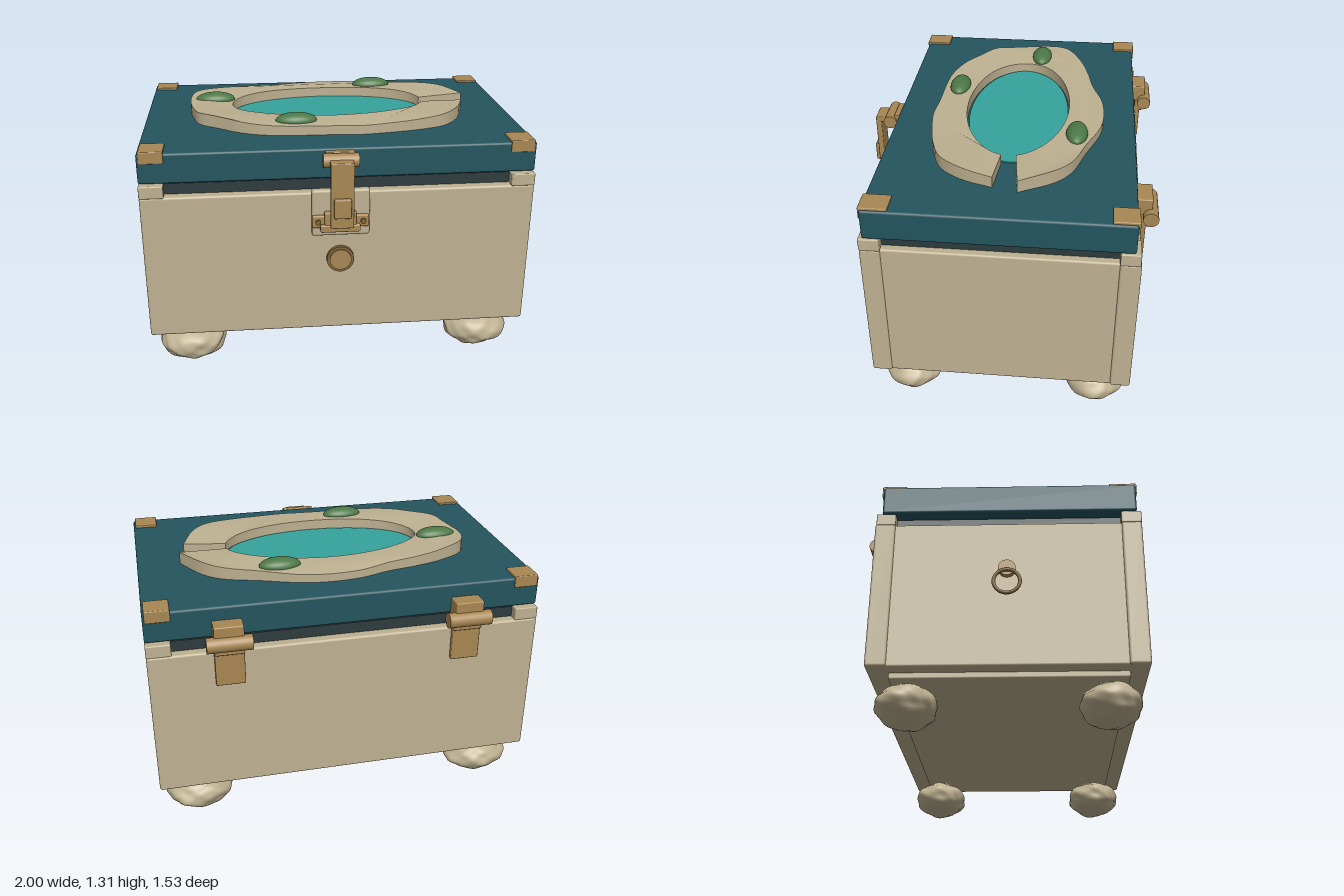
import * as THREE from 'three';
import { mergeVertices, toCreasedNormals } from 'three/addons/utils/BufferGeometryUtils.js';
import { RoundedBoxGeometry } from 'three/addons/geometries/RoundedBoxGeometry.js';

export function createModel() {
  const root = new THREE.Group();
  root.name = 'chest';
  const mat = (name, color) => {
    const m = new THREE.MeshStandardMaterial({ color });
    m.name = name;
    return m;
  };
  const tan = mat('pale stone', 0xbeb191);
  const lidBlue = mat('dark teal', 0x23545e);
  const pool = mat('bright teal', 0x36a39b);
  const seal = mat('charcoal', 0x2c3b3d);
  const bronze = mat('bronze', 0xa88753);
  const darkBronze = mat('dark bronze', 0x7c6439);
  const green = mat('moss green', 0x4c7846);

  const add = (name, geo, material, x = 0, y = 0, z = 0) => {
    const mesh = new THREE.Mesh(geo, material);
    mesh.name = name;
    mesh.position.set(x, y, z);
    root.add(mesh);
    return mesh;
  };
  // Box given by its extents; r rounds the edges
  const box = (name, material, x0, x1, y0, y1, z0, z1, r = 0) => {
    const s = [x1 - x0, y1 - y0, z1 - z0];
    const geo = r ? new RoundedBoxGeometry(...s, 2, r) : new THREE.BoxGeometry(...s);
    return add(name, geo, material, (x0 + x1) / 2, (y0 + y1) / 2, (z0 + z1) / 2);
  };
  const rodX = (name, material, x0, x1, y, z, r) =>
    add(name, new THREE.CylinderGeometry(r, r, x1 - x0, 24).rotateZ(Math.PI / 2), material, (x0 + x1) / 2, y, z);
  const rodZ = (name, material, x, y, z0, z1, r) =>
    add(name, new THREE.CylinderGeometry(r, r, z1 - z0, 32).rotateX(Math.PI / 2), material, x, y, (z0 + z1) / 2);

  // Body: core with thick front and back slabs, on a plinth
  box('bodyCore', tan, -0.96, 0.99, 0.22, 0.99, -0.6, 0.55, 0.01);
  box('frontPanel', tan, -0.97, 1, 0.22, 0.99, 0.53, 0.63, 0.012);
  box('backPanel', tan, -0.97, 1, 0.22, 0.99, -0.68, -0.58, 0.012);
  box('plinth', tan, -0.89, 0.91, 0.19, 0.225, -0.58, 0.54, 0.008);

  // Dark band under the lid and corner blocks
  box('lidSeal', seal, -0.92, 0.95, 0.98, 1.045, -0.63, 0.58);
  for (const [x0, x1] of [[-0.97, -0.85], [0.88, 1]])
    for (const [z0, z1] of [[-0.675, -0.58], [0.53, 0.63]])
      box('cornerBlock', tan, x0, x1, 0.985, 1.05, z0, z1, 0.006);

  // Lid with bronze corners
  box('lid', lidBlue, -0.97, 1, 1.055, 1.21, -0.65, 0.61, 0.012);
  for (const [x0, x1] of [[-0.96, -0.84], [0.87, 0.99]])
    for (const [z0, z1] of [[-0.658, -0.535], [0.48, 0.616]])
      box('lidCorner', bronze, x0, x1, 1.16, 1.222, z0, z1, 0.005);

  // Broken stone ring around the pool
  const back = [[0.78, -0.09], [0.68, -0.26], [0.59, -0.335], [0.4, -0.4], [0.2, -0.47], [0.05, -0.485],
    [-0.1, -0.47], [-0.25, -0.42], [-0.4, -0.39], [-0.56, -0.34], [-0.7, -0.25], [-0.735, -0.1]];
  const front = [[-0.71, 0.07], [-0.68, 0.16], [-0.58, 0.24], [-0.46, 0.33], [-0.3, 0.385], [0, 0.4],
    [0.15, 0.41], [0.3, 0.39], [0.45, 0.36], [0.6, 0.3], [0.69, 0.19], [0.75, 0.03]];
  const curve = new THREE.CatmullRomCurve3([...back, ...front].map(([x, z]) => new THREE.Vector3(x, -z, 0)));
  const outline = curve.getPoints(92).map(p => new THREE.Vector2(p.x, p.y));
  for (let i = 0; i <= 64; i++) {
    const a = 0.15 + (i / 64) * (2 * Math.PI - 0.27);
    outline.push(new THREE.Vector2(0.015 + 0.52 * Math.cos(a), 0.03 - 0.27 * Math.sin(a)));
  }
  const ring = new THREE.ExtrudeGeometry(new THREE.Shape(outline), { depth: 0.05, bevelEnabled: false }).rotateX(-Math.PI / 2);
  const rp = ring.attributes.position;
  for (let i = 0; i < rp.count; i++) {
    const x = rp.getX(i), z = rp.getZ(i);
    if (rp.getY(i) > 0.02) rp.setY(i, 0.05 + 0.028 * x * x - 0.007 * Math.cos(12 * z));
  }
  add('stoneRing', toCreasedNormals(ring, 0.6), tan, 0, 1.208, 0);
  const water = new THREE.CylinderGeometry(1, 1, 0.008, 64).scale(0.51, 1, 0.262);
  add('pool', water, pool, 0.015, 1.212, -0.032);
  for (const [x, z] of [[-0.6, -0.115], [0.3, -0.35], [-0.18, 0.312]])
    add('mossPatch', new THREE.SphereGeometry(1, 32, 20).scale(0.106, 0.04, 0.055), green, x, 1.266, z);

  // Lumpy stone feet
  const foot = (x, z, seed) => {
    let geo = new THREE.IcosahedronGeometry(1, 9);
    geo.deleteAttribute('normal');
    geo.deleteAttribute('uv');
    geo = mergeVertices(geo, 1e-4);
    const p = geo.attributes.position, v = new THREE.Vector3();
    for (let i = 0; i < p.count; i++) {
      v.fromBufferAttribute(p, i);
      const n = Math.sin(4 * v.x + seed) * Math.sin(5 * v.y + 2 * seed) * Math.cos(4 * v.z - seed)
        + 0.5 * Math.sin(9 * v.x - seed + 3 * v.z) * Math.cos(8 * v.y + 6 * v.z + seed);
      v.multiplyScalar(0.98 + 0.06 * n);
      p.setXYZ(i, v.x, v.y, v.z);
    }
    geo.scale(0.178, 0.1, 0.15);
    geo.computeVertexNormals();
    geo.computeBoundingBox();
    add('foot', geo, tan, x, -geo.boundingBox.min.y, z);
  };
  [[-0.765, 0.455], [0.79, 0.455], [-0.765, -0.505], [0.79, -0.505]].forEach(([x, z], i) => foot(x, z, 1 + 1.7 * i));

  // Front latch
  box('latchPlate', tan, -0.13, 0.16, 0.765, 1.01, 0.615, 0.658, 0.012);
  box('latchMount', bronze, -0.06, 0.085, 1.13, 1.2, 0.6, 0.64, 0.005);
  rodX('latchBarrel', bronze, -0.075, 0.1, 1.165, 0.66, 0.035);
  box('latchArm', bronze, -0.045, 0.07, 1.15, 1.178, 0.66, 0.745, 0.005);
  box('latchStrap', bronze, -0.045, 0.07, 0.84, 1.175, 0.715, 0.745, 0.006);
  box('latchTab', bronze, -0.03, 0.055, 0.9, 1, 0.74, 0.765, 0.006);
  box('latchCatch', bronze, -0.09, 0.11, 0.795, 0.835, 0.65, 0.69, 0.008);
  box('latchCatchBlock', bronze, -0.07, 0.09, 0.82, 0.9, 0.65, 0.685, 0.008);
  box('latchFlange', bronze, -0.13, 0.155, 0.815, 0.88, 0.65, 0.672, 0.008);
  for (const x of [-0.1, 0.125]) rodZ('latchRivet', darkBronze, x, 0.847, 0.66, 0.68, 0.014);

  // Round front boss
  rodZ('bossRim', darkBronze, 0.015, 0.627, 0.62, 0.65, 0.07);
  rodZ('bossFace', bronze, 0.015, 0.627, 0.62, 0.657, 0.055);

  // Rear hinges
  for (const x of [-0.58, 0.61]) {
    box('hingeUpperLeaf', bronze, x - 0.072, x + 0.072, 1.05, 1.14, -0.73, -0.64, 0.006);
    rodX('hingeBarrel', bronze, x - 0.11, x + 0.11, 1.05, -0.725, 0.038);
    box('hingeKnuckle', bronze, x - 0.072, x + 0.072, 0.985, 1.05, -0.72, -0.675, 0.006);
    box('hingeLowerLeaf', bronze, x - 0.072, x + 0.072, 0.815, 1.01, -0.705, -0.67, 0.006);
  }

  // Ring pull on the right side
  const disc = new THREE.CylinderGeometry(0.042, 0.042, 0.03, 24).rotateZ(Math.PI / 2);
  add('pullMount', disc, bronze, -0.97, 0.725, -0.03);
  add('pullRing', new THREE.TorusGeometry(0.063, 0.009, 10, 40).rotateY(Math.PI / 2), darkBronze, -0.991, 0.645, -0.03);

  return root;
}
